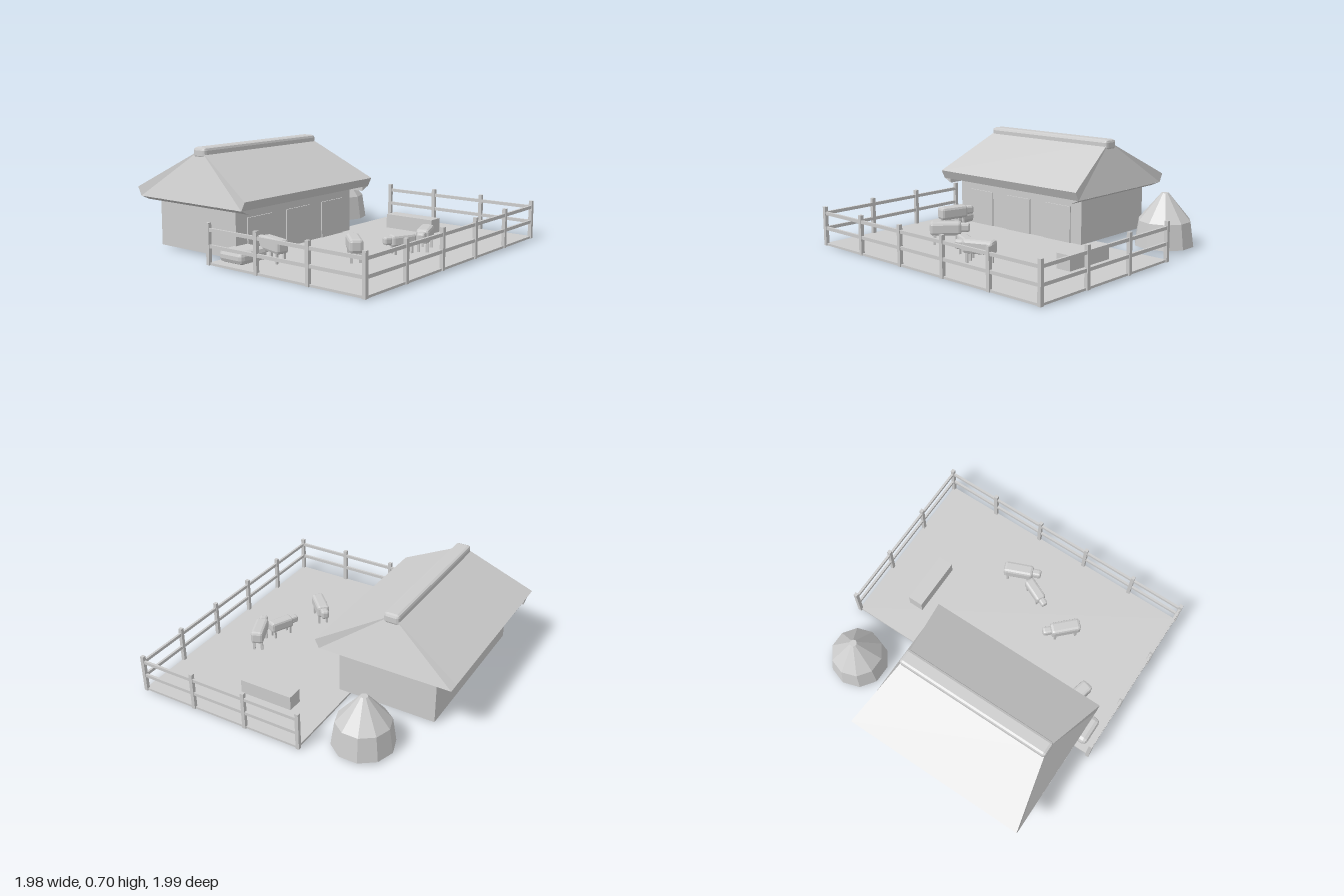
import * as THREE from 'three';
import { RoundedBoxGeometry } from 'three/addons/geometries/RoundedBoxGeometry.js';

export function createModel() {
  const model = new THREE.Group();
  model.name = 'farmyard';
  const grey = new THREE.MeshStandardMaterial({ color: 0xcccccc, flatShading: true });
  grey.name = 'plain grey';

  const add = (name, geometry, parent = model) => {
    const mesh = new THREE.Mesh(geometry, grey);
    mesh.name = name;
    parent.add(mesh);
    return mesh;
  };
  // Box given by its limits along each axis
  const box = (name, [x0, x1], [y0, y1], [z0, z1], parent) => {
    const mesh = add(name, new THREE.BoxGeometry(x1 - x0, y1 - y0, z1 - z0), parent);
    mesh.position.set((x0 + x1) / 2, (y0 + y1) / 2, (z0 + z1) / 2);
    return mesh;
  };
  // Box with chamfered edges
  const chamferBox = (name, size, bevel, pos, parent) => {
    const mesh = add(name, new RoundedBoxGeometry(...size, 1, bevel), parent);
    mesh.position.set(...pos);
    return mesh;
  };

  const floor = 0.015;
  box('yardGround', [-0.98, 0.98], [0, floor], [-0.225, 0.985]);

  // Fence along the front and both sides
  const fence = new THREE.Group();
  fence.name = 'fence';
  model.add(fence);
  const post = (x, z) => box('fencePost', [x - 0.0125, x + 0.0125], [0, 0.268], [z - 0.0125, z + 0.0125], fence);
  for (let i = 0; i < 6; i++) post(-0.977 + i * 0.3908, 0.98);
  for (const x of [-0.977, 0.977]) {
    for (let i = 0; i < 3; i++) post(x, -0.225 + i * 0.4017);
  }
  for (const y of [0.12, 0.224]) {
    box('frontRail', [-0.977, 0.977], [y - 0.011, y + 0.011], [0.972, 0.988], fence);
    for (const x of [-0.977, 0.977]) {
      box('sideRail', [x - 0.008, x + 0.008], [y - 0.011, y + 0.011], [-0.225, 0.98], fence);
    }
  }

  // Barn walls and doors
  box('barnWalls', [-0.82, 0.345], [floor, 0.36], [-0.845, -0.145]);
  for (const x of [-0.72, -0.35, 0.02]) box('barnDoor', [x, x + 0.232], [floor, 0.268], [-0.15, -0.136]);

  // Thick roof: a five-sided section whose ridge is shorter than its eaves
  const section = [[0.68, -0.5], [0.405, 0], [0.345, -0.03], [0.345, -0.97], [0.405, -1]];
  const points = [], faces = [];
  section.forEach(([y, z], i) => {
    points.push(i ? 0.412 : 0.3, y, z, i ? -0.885 : -0.773, y, z);
    const j = (i + 1) % 5, r = i * 2, l = r + 1, rj = j * 2, lj = rj + 1;
    faces.push(r, l, lj, r, lj, rj);
    if (i > 0 && i < 4) faces.push(0, r, rj, 1, lj, l);
  });
  const roof = new THREE.BufferGeometry();
  roof.setAttribute('position', new THREE.Float32BufferAttribute(points, 3));
  roof.setIndex(faces);
  const roofFlat = roof.toNonIndexed();
  roofFlat.computeVertexNormals();
  add('barnRoof', roofFlat);
  chamferBox('ridgeCap', [1.11, 0.075, 0.11], 0.02, [-0.235, 0.659, -0.5]);

  // Sloping boards beneath the roof ends
  for (const [outer, inner] of [[0.412, 0.345], [-0.885, -0.82]]) {
    const wedge = new THREE.Shape([
      new THREE.Vector2(outer, 0.346), new THREE.Vector2(inner, 0.346), new THREE.Vector2(inner, 0.315),
    ]);
    add('eaveBoard', new THREE.ExtrudeGeometry(wedge, { depth: 0.94, bevelEnabled: false })).position.z = -0.97;
  }

  // Ten-sided haystack
  const hay = [[0, floor], [0.205, floor], [0.18, 0.185], [0.025, 0.37], [0, 0.37]];
  add('haystack', new THREE.LatheGeometry(hay.map(([r, y]) => new THREE.Vector2(r, y)), 10))
    .position.set(0.74, 0, -0.55);

  // Feeding trough and water trough
  box('feedingTrough', [0.592, 0.702], [floor, 0.115], [0.397 - 0.385, 0.4]);
  chamferBox('waterTrough', [0.24, 0.085, 0.205], 0.03, [-0.812, 0.058, -0.09]);

  // Animals: chamfered body and head on four legs, facing +z before turning
  const animal = (x, z, dx, dz, s) => {
    const g = new THREE.Group();
    g.name = 'animal';
    chamferBox('body', [0.09, 0.092, 0.215], 0.02, [0, 0.108, 0], g);
    chamferBox('head', [0.056, 0.062, 0.07], 0.015, [0, 0.112, 0.13], g);
    for (const lx of [-0.028, 0.028]) {
      for (const lz of [-0.075, 0.075]) {
        box('leg', [lx - 0.008, lx + 0.008], [0, 0.07], [lz - 0.008, lz + 0.008], g);
      }
    }
    g.position.set(x, floor, z);
    g.rotation.y = Math.atan2(dx, dz);
    g.scale.setScalar(s);
    model.add(g);
  };
  animal(-0.365, 0.44, 0.7, -0.7, 1);
  animal(-0.025, 0.57, -0.9, -0.42, 0.83);
  animal(0.155, 0.63, -0.92, 0.38, 1);
  animal(-0.7, 0.065, 0.25, -0.97, 1);

  return model;
}
